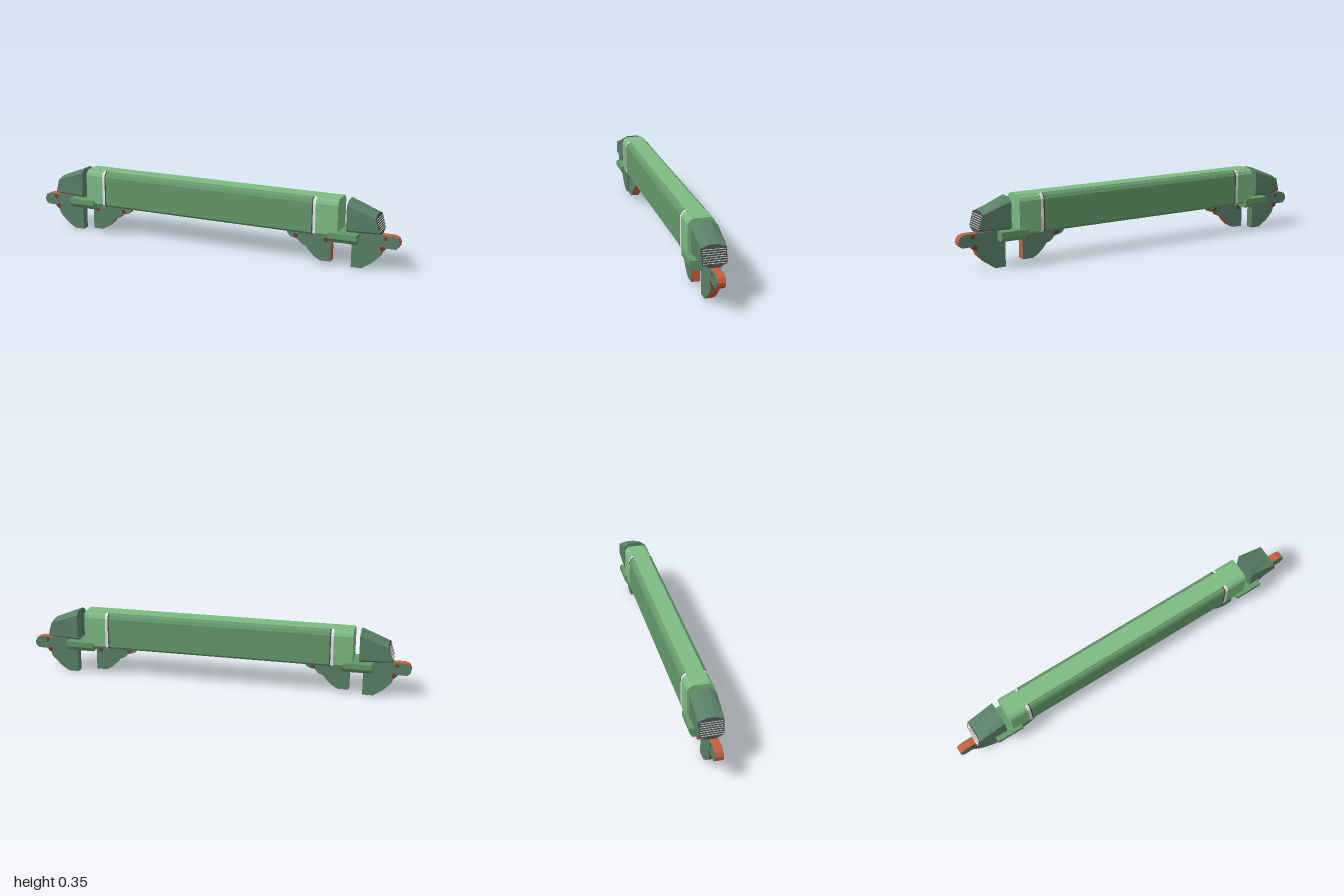
import * as THREE from 'three';

const mat = (name, color, side = THREE.FrontSide) => {
  const m = new THREE.MeshStandardMaterial({ color, side });
  m.name = name;
  return m;
};

export function createModel() {
  const root = new THREE.Group();
  root.name = 'longBarrier';
  const light = mat('light green', 0x7cba82);
  const mid = mat('mid green', 0x64986a);
  const deep = mat('deep green', 0x5a8067, THREE.DoubleSide);
  const orange = mat('orange', 0xc85c3a);
  const maroon = mat('dark red', 0x7c3a2c);
  const white = mat('off white', 0xe6e6e6);
  const dark = mat('dark trim', 0x484f4c, THREE.DoubleSide);

  const add = (name, geometry, material, parent = root) => {
    const m = new THREE.Mesh(geometry, material);
    m.name = name;
    parent.add(m);
    return m;
  };
  const box = (name, material, w, h, d, x, y, z, parent) => {
    const m = add(name, new THREE.BoxGeometry(w, h, d), material, parent);
    m.position.set(x, y, z);
    return m;
  };
  const polygon = pts => new THREE.Shape(pts.map(p => new THREE.Vector2(p[0], p[1])));

  // Constant section (z, y) running along x
  const prism = (name, pts, x0, x1, material) => {
    const g = new THREE.ExtrudeGeometry(polygon(pts.map(([z, y]) => [-z, y])),
      { depth: x1 - x0, bevelEnabled: false });
    g.rotateY(Math.PI / 2);
    g.translate(x0, 0, 0);
    return add(name, g, material);
  };
  const bodySection = (grow = 0) => {
    const w = 0.066 + grow, t = 0.346 + grow, b = 0.155 - grow;
    const half = [[w - 0.012, b], [w, b + 0.012], [w, t - 0.027], [w - 0.008, t - 0.01], [w - 0.023, t]];
    return [...half, ...half.map(([z, y]) => [-z, y]).reverse()].map(([z, y]) => [z - 0.003, y]);
  };

  // Main beam with lighter ends, top panel and bands
  prism('beamMiddle', bodySection(), -0.60, 0.573, mid);
  prism('beamRightEnd', bodySection(), -0.71, -0.60, light);
  prism('beamLeftEnd', bodySection(), 0.573, 0.70, light);
  box('topPanel', light, 1.41, 0.003, 0.086, -0.005, 0.346, -0.003);
  for (const [x, s] of [[-0.606, -1], [0.579, 1]]) {
    prism('whiteBand', bodySection(0.001), x - 0.007, x + 0.007, white);
    prism('darkBand', bodySection(0.001), x - s * 0.01 - 0.003, x - s * 0.01 + 0.003, dark);
  }

  // Tapered end housing, lofted between two octagons
  const baseRing = [[0.045, 0.187], [0.063, 0.2], [0.063, 0.325], [0.03, 0.345],
    [-0.03, 0.345], [-0.063, 0.325], [-0.063, 0.2], [-0.045, 0.187]];
  const tipRing = [[0.022, 0.187], [0.058, 0.205], [0.061, 0.275], [0.02, 0.288],
    [-0.02, 0.288], [-0.061, 0.275], [-0.058, 0.205], [-0.022, 0.187]];
  const tipX = y => 0.908 - Math.max(0, y - 0.205) * 0.28;
  const loft = (a, b) => {
    const pos = [], n = a.length;
    for (let i = 0; i < n; i++) {
      const j = (i + 1) % n;
      pos.push(...a[i], ...a[j], ...b[j], ...a[i], ...b[j], ...b[i]);
    }
    const g = new THREE.BufferGeometry();
    g.setAttribute('position', new THREE.Float32BufferAttribute(pos, 3));
    g.computeVertexNormals();
    return g;
  };
  const at = (ring, s, fx) => {
    const r = ring.map(([z, y]) => [s * fx(y), y, z - 0.003]);
    return s > 0 ? r : r.reverse();
  };

  const housing = s => {
    const g = new THREE.Group();
    g.name = s > 0 ? 'leftHousing' : 'rightHousing';
    root.add(g);
    const base = at(baseRing, s, () => 0.742);
    const tip = at(tipRing, s, tipX);
    add('shell', loft(base, tip), deep, g);
    add('backPlate', loft([...base].reverse(), base.map(() => [s * 0.742, 0.24, -0.003])), deep, g);
    const center = tip.map(() => [s * tipX(0.238), 0.238, -0.003]);
    add('grilleFace', loft(tip, center), dark, g);
    // Thin white slats across the grille, following its slope
    for (let i = 0; i < 7; i++) {
      const y = 0.208 + i * 0.01;
      box('slat', white, 0.002, 0.0026, 0.108, s * (tipX(y) + 0.0006), y, -0.003, g).rotation.z = s * 0.27;
    }
  };

  // Side plates: green faces and borders around an orange rim
  const outer = [[0.762, 0], [0.815, 0], [0.862, 0.032], [0.903, 0.072], [0.915, 0.1], [0.938, 0.12],
    [0.982, 0.119], [0.997, 0.134], [1, 0.152], [0.99, 0.174], [0.965, 0.183], [0.762, 0.183]];
  const inner = [[0.66, 0.018], [0.605, 0.018], [0.575, 0.035], [0.548, 0.06], [0.53, 0.083], [0.502, 0.094],
    [0.485, 0.114], [0.447, 0.123], [0.43, 0.14], [0.425, 0.16], [0.66, 0.16]];
  const bracket = (name, pts, s, shift, z0, z1, spots) => {
    const g = new THREE.Group();
    g.name = name;
    root.add(g);
    const fx = x => s * x + shift;
    const shape = polygon(pts.map(([x, y]) => [fx(x), y]));
    const border = 0.003;
    const slab = (part, from, to, material) => {
      add(part, new THREE.ExtrudeGeometry(shape, { depth: to - from, bevelEnabled: false }),
        material, g).position.z = from;
    };
    slab('backFace', z0, z0 + border, deep);
    slab('rim', z0 + border, z1 - border, orange);
    slab('frontFace', z1 - border, z1, deep);
    // Small dark red pads on both faces
    for (const [x, y, r] of spots) {
      const pad = add('pad', new THREE.CylinderGeometry(r, r, z1 - z0 + 0.002, 10), maroon, g);
      pad.rotation.x = Math.PI / 2;
      pad.position.set(fx(x), y, (z0 + z1) / 2);
    }
    return g;
  };

  for (const s of [1, -1]) {
    housing(s);
    const z0 = s > 0 ? -0.027 : -0.015;
    const o = bracket('outerBracket', outer, s, 0, z0, z0 + 0.042,
      [[0.915, 0.114, 0.013], [0.928, 0.167, 0.011]]);
    box('innerEdge', deep, 0.002, 0.183, 0.042, s * 0.7615, 0.0915, z0 + 0.021, o);
    bracket('innerBracket', inner, s, s > 0 ? 0 : -0.03, -0.01, 0.033,
      [[0.635, 0.127, 0.013], [0.475, 0.132, 0.012]]);
    // Cross bar under each beam end
    const c = s > 0 ? 0.728 : -0.737;
    prism('crossBar', [[0.065, 0.134], [0.08, 0.155], [0.08, 0.183],
      [-0.08, 0.183], [-0.08, 0.155], [-0.065, 0.134]], c - 0.072, c + 0.072, mid);
  }
  return root;
}
